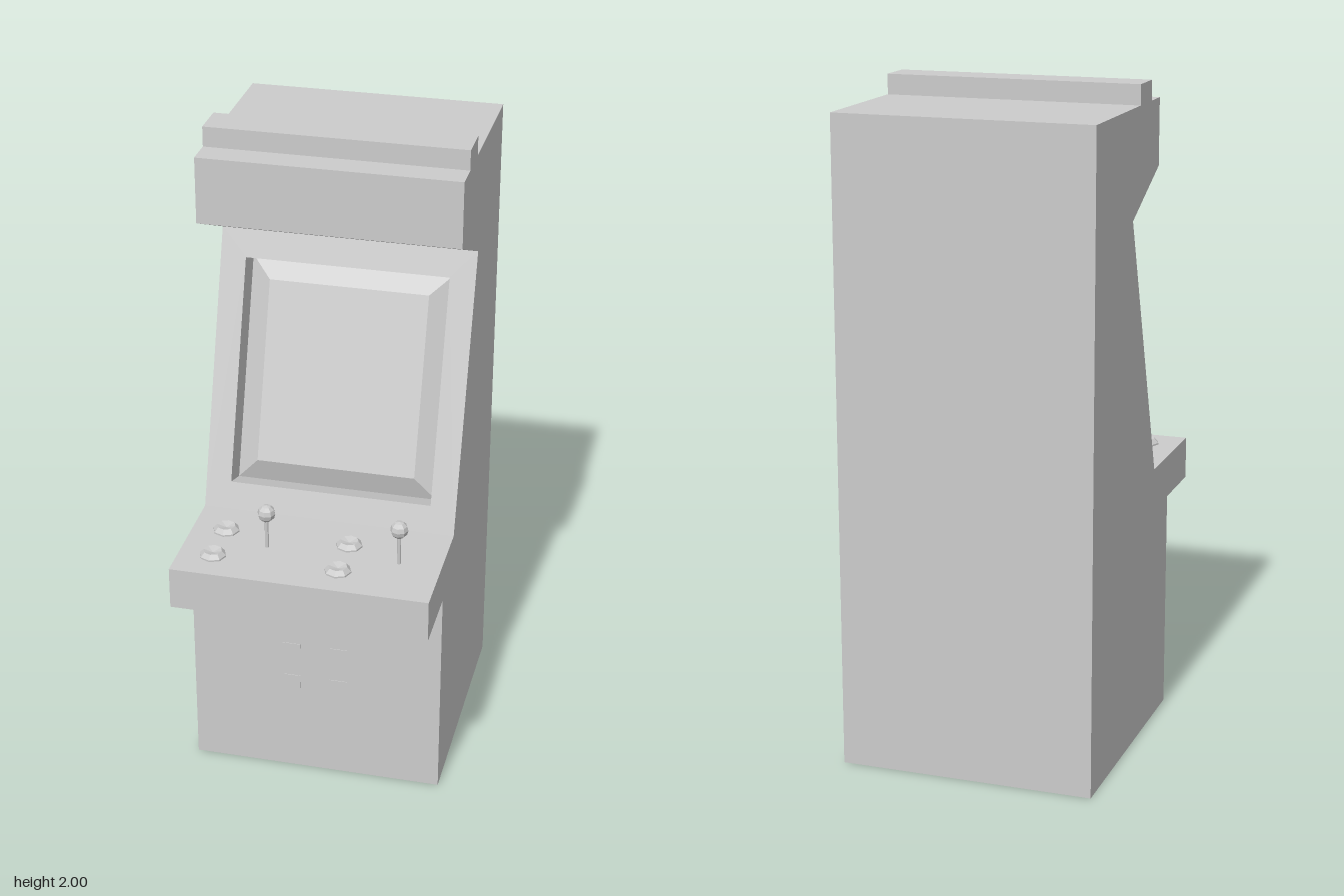
import * as THREE from 'three';

const W = 0.385; // half width of the cabinet
const DECK = 0.81; // height of the control deck

// Cabinet outline as [z, y], from the back foot round the front to the back top
const PROFILE = [
  [-0.497, 0], [0.28, 0], [0.28, 0.68], [0.499, 0.68], [0.499, DECK], [0.127, DECK],
  [-0.14, 1.62], [0.121, 1.74], [0.121, 1.94], [0.035, 1.94], [0.035, 2],
  [-0.078, 2], [-0.078, 1.94], [-0.497, 1.94],
];
const SLOPE = 5; // index of the edge that carries the screen

const material = new THREE.MeshStandardMaterial({ color: 0xcccccc, flatShading: true });

function add(parent, name, geometry, x = 0, y = 0, z = 0) {
  const mesh = new THREE.Mesh(geometry, material);
  mesh.name = name;
  mesh.position.set(x, y, z);
  parent.add(mesh);
  return mesh;
}

// Flat-sided geometry from a list of four-cornered faces
function quads(list) {
  const pos = [];
  for (const [a, b, c, d] of list) pos.push(...a, ...b, ...c, ...a, ...c, ...d);
  const g = new THREE.BufferGeometry();
  g.setAttribute('position', new THREE.Float32BufferAttribute(pos, 3));
  g.computeVertexNormals();
  return g;
}

function cabinet() {
  const group = new THREE.Group();
  group.name = 'cabinet';

  // Side walls
  for (const s of [1, -1]) {
    const shape = new THREE.Shape(PROFILE.map(([z, y]) => new THREE.Vector2(-s * z, y)));
    const wall = new THREE.ShapeGeometry(shape).rotateY(s * Math.PI / 2);
    add(group, s > 0 ? 'leftWall' : 'rightWall', wall, s * W);
  }

  // Panels running across the width, leaving out the screen slope
  const panels = [];
  PROFILE.forEach(([z0, y0], i) => {
    if (i === SLOPE) return;
    const [z1, y1] = PROFILE[(i + 1) % PROFILE.length];
    panels.push([[-W, y0, z0], [W, y0, z0], [W, y1, z1], [-W, y1, z1]]);
  });
  add(group, 'panels', quads(panels));
  return group;
}

function screenPanel() {
  const [z0, y0] = PROFILE[SLOPE];
  const [z1, y1] = PROFILE[SLOPE + 1];
  const length = Math.hypot(z1 - z0, y1 - y0);
  const group = new THREE.Group();
  group.name = 'screenPanel';
  group.position.set(0, y0, z0);
  group.rotation.x = -Math.atan2(z0 - z1, y1 - y0);

  // Corners of the opening, shrunk by an inset and pushed to a depth
  const ring = (inset, z) => {
    const x = 0.308 - inset, lo = 0.084 + inset, hi = 0.768 - inset;
    return [[-x, lo, z], [x, lo, z], [x, hi, z], [-x, hi, z]];
  };
  const toPoints = (r) => r.map(([x, y]) => new THREE.Vector2(x, y));

  // Sloped surround with the opening cut out
  const surround = new THREE.Shape(toPoints([[-W, 0], [W, 0], [W, length], [-W, length]]));
  surround.holes.push(new THREE.Path(toPoints(ring(0, 0))));
  add(group, 'screenSurround', new THREE.ShapeGeometry(surround));

  // Recess walls, then the raised screen with bevelled edges
  const between = (a, b) => a.map((p, i) => [p, a[(i + 1) % 4], b[(i + 1) % 4], b[i]]);
  const opening = ring(0, 0), base = ring(0, -0.09), pane = ring(0.065, -0.05);
  add(group, 'screenRecess', quads(between(opening, base)));
  add(group, 'screen', quads([...between(base, pane), pane]));
  return group;
}

function joystick(x, z) {
  const group = new THREE.Group();
  group.name = 'joystick';
  group.position.set(x, DECK, z);
  add(group, 'stick', new THREE.CylinderGeometry(0.006, 0.006, 0.11, 8), 0, 0.055);
  add(group, 'knob', new THREE.SphereGeometry(0.027, 8, 6), 0, 0.115);
  return group;
}

export function createModel() {
  const model = new THREE.Group();
  model.name = 'arcadeCabinet';
  model.add(cabinet(), screenPanel());

  // Controls for two players
  model.add(joystick(-0.14, 0.312), joystick(0.258, 0.312));
  const dish = [[0.04, 0], [0.04, 0.005], [0.028, 0.018], [0, 0.01]].map(([r, y]) => new THREE.Vector2(r, y));
  const button = new THREE.LatheGeometry(dish, 8);
  for (const x of [-0.282, 0.095]) {
    for (const z of [0.25, 0.395]) add(model, 'button', button, x, DECK, z);
  }

  // Coin slots and return flaps on the lower front
  for (const x of [-0.077, 0.069]) {
    add(model, 'coinSlot', new THREE.BoxGeometry(0.055, 0.09, 0.004), x, 0.41, 0.28);
    add(model, 'coinReturn', new THREE.BoxGeometry(0.055, 0.045, 0.004), x, 0.317, 0.28);
  }
  return model;
}
